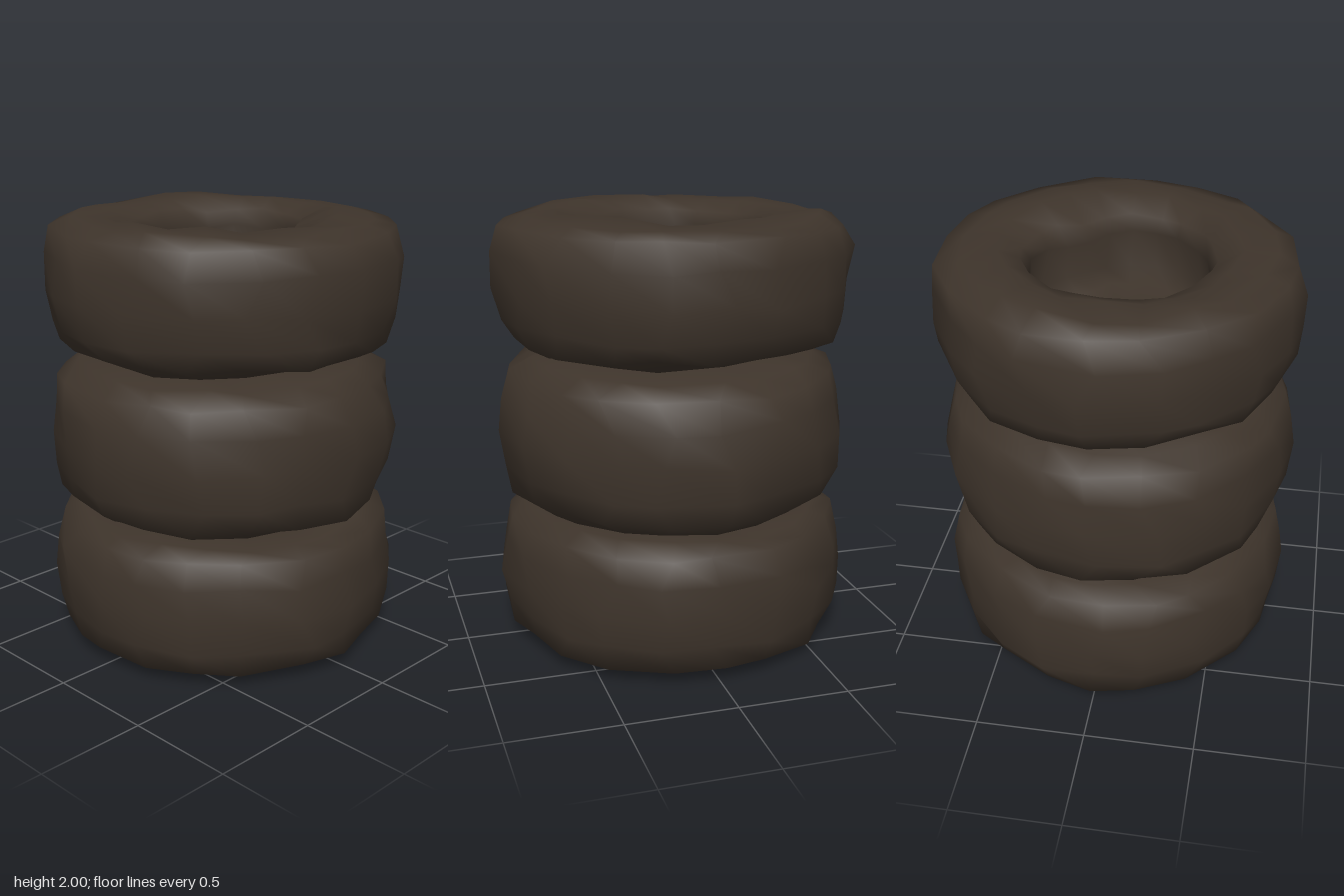
import * as THREE from 'three';
import { mergeVertices } from 'three/addons/utils/BufferGeometryUtils.js';

const SIDES = 20;

// small seeded generator, -1 to 1
function seeded(seed) {
  let s = seed;
  return () => {
    s = (s * 16807) % 2147483647;
    return (s / 2147483647) * 2 - 1;
  };
}

// tread and shoulders of each tyre as [radius, height], from bottom to top
const TYRES = {
  bottomTyre: {
    outer: [[0.5, 0.015], [0.66, 0.025], [0.76, 0.06], [0.795, 0.18], [0.81, 0.33],
      [0.8, 0.47], [0.765, 0.59], [0.68, 0.625], [0.5, 0.65]],
    pits: [0.36, 0.2], bulge: 0, seed: 4127,
  },
  middleTyre: {
    outer: [[0.5, 0.64], [0.66, 0.67], [0.75, 0.72], [0.785, 0.83], [0.81, 1.0],
      [0.79, 1.15], [0.755, 1.27], [0.65, 1.325], [0.48, 1.38]],
    pits: [0.2, 0.2], bulge: 0, seed: 90211,
  },
  topTyre: {
    outer: [[0.5, 1.375], [0.66, 1.395], [0.745, 1.43], [0.79, 1.52], [0.81, 1.66],
      [0.81, 1.82], [0.775, 1.935], [0.68, 1.975], [0.53, 1.985]],
    pits: [0.2, 0.38], bulge: 0.09, seed: 55307,
  },
};

// hole side from the web to the lip; dir is 1 for the lower hole, -1 for the upper
function holeProfile(y, pit, dir) {
  return [
    [0, y + dir * pit], [0.34, y + dir * (pit - 0.02)], [0.41, y + dir * (pit - 0.07)],
    [0.385, y + dir * 0.125], [0.42, y + dir * 0.05],
  ];
}

// worn tyre: a lathed, dented ring whose hole is closed by a recessed web
function tyreGeometry({ outer, pits, bulge, seed }) {
  const y0 = outer[0][1];
  const y1 = outer[outer.length - 1][1];
  const profile = [
    ...holeProfile(y0, pits[0], 1), ...outer, ...holeProfile(y1, pits[1], -1).reverse(),
  ].map(([r, y]) => new THREE.Vector2(r, y));
  const rows = profile.length;
  const geo = new THREE.LatheGeometry(profile, SIDES);
  const pos = geo.attributes.position;
  const rand = seeded(seed);

  // one set of dents per column, shared across the seam
  const dents = Array.from({ length: SIDES }, () => {
    const column = rand() * 0.01;
    return profile.map((p) => ({
      r: p.x > 0.6 ? column + rand() * 0.016 : rand() * 0.014,
      y: rand() * 0.015,
      a: p.x > 0.6 ? rand() * 0.07 : rand() * 0.05,
    }));
  });
  for (let i = 0; i <= SIDES; i++) {
    for (let j = 0; j < rows; j++) {
      const k = i * rows + j;
      const p = profile[j];
      if (p.x === 0) {
        pos.setXYZ(k, 0, p.y, 0);
        continue;
      }
      const d = dents[i % SIDES][j];
      const angle = ((i % SIDES) / SIDES) * Math.PI * 2 + d.a;
      let r = p.x + d.r;
      // the lip of the hole sags inwards on the back left
      if (p.x < 0.45 && j > rows / 2) r -= bulge * Math.exp(-(((angle - 2.2) / 0.5) ** 2));
      const y = THREE.MathUtils.clamp(p.y + d.y, 0, 2);
      pos.setXYZ(k, Math.sin(angle) * r, y, Math.cos(angle) * r);
    }
  }
  geo.deleteAttribute('uv');
  geo.deleteAttribute('normal');
  const welded = mergeVertices(geo, 1e-5);
  welded.computeVertexNormals();
  return welded;
}

export function createModel() {
  const group = new THREE.Group();
  group.name = 'tyreStack';
  const rubber = new THREE.MeshStandardMaterial({ color: 0x3e342b });
  rubber.name = 'dark brown rubber';

  // three tyres pressed together, each dented differently
  for (const [name, spec] of Object.entries(TYRES)) {
    const tyre = new THREE.Mesh(tyreGeometry(spec), rubber);
    tyre.name = name;
    group.add(tyre);
  }
  return group;
}
